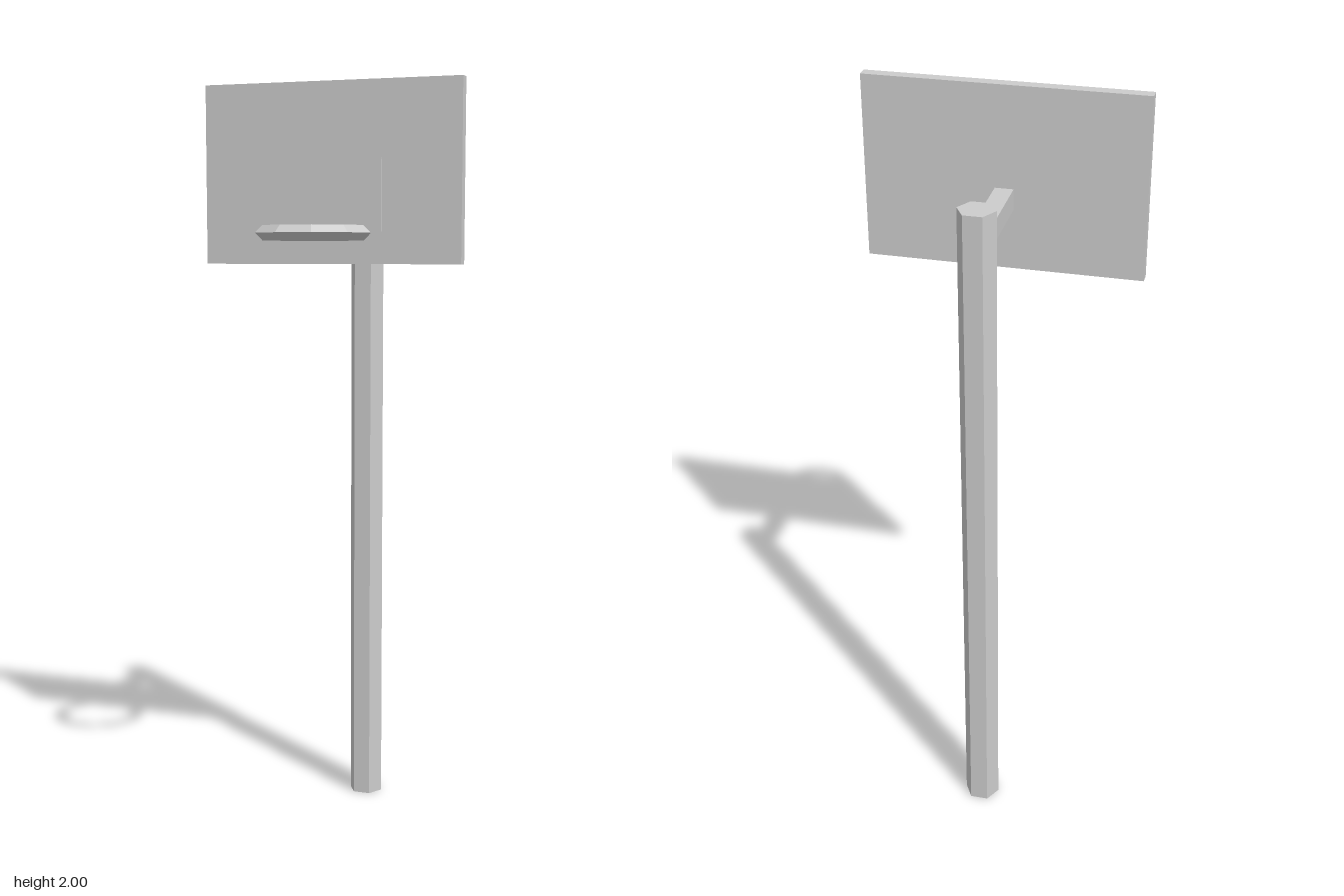
import * as THREE from 'three';

export function createModel() {
  const model = new THREE.Group();
  model.name = 'basketballHoop';
  const grey = new THREE.MeshStandardMaterial({ color: 0xcccccc });
  grey.name = 'light grey';

  // Adds a flat-faced part at a position
  const add = (name, geometry, x, y, z) => {
    const flat = geometry.toNonIndexed();
    flat.computeVertexNormals();
    const mesh = new THREE.Mesh(flat, grey);
    mesh.name = name;
    mesh.position.set(x, y, z);
    model.add(mesh);
  };

  // Six-sided pole with corners pointing sideways
  const pole = new THREE.CylinderGeometry(0.047, 0.047, 1.803, 6).rotateY(Math.PI / 2);
  add('pole', pole, 0, 0.9015, -0.269);

  // Arm from the pole to the board
  add('supportArm', new THREE.BoxGeometry(0.047, 0.053, 0.236), 0, 1.715, -0.112);

  // Board and its raised target panel
  add('backboard', new THREE.BoxGeometry(0.704, 0.468, 0.03), 0, 1.766, 0.02);
  add('targetPanel', new THREE.BoxGeometry(0.281, 0.188, 0.009), 0, 1.709, 0.0385);

  // Ten-sided rim with a diamond cross-section
  const rim = new THREE.TorusGeometry(0.133, 0.019, 4, 10).rotateX(Math.PI / 2);
  add('rim', rim, 0, 1.611, 0.162);

  return model;
}
